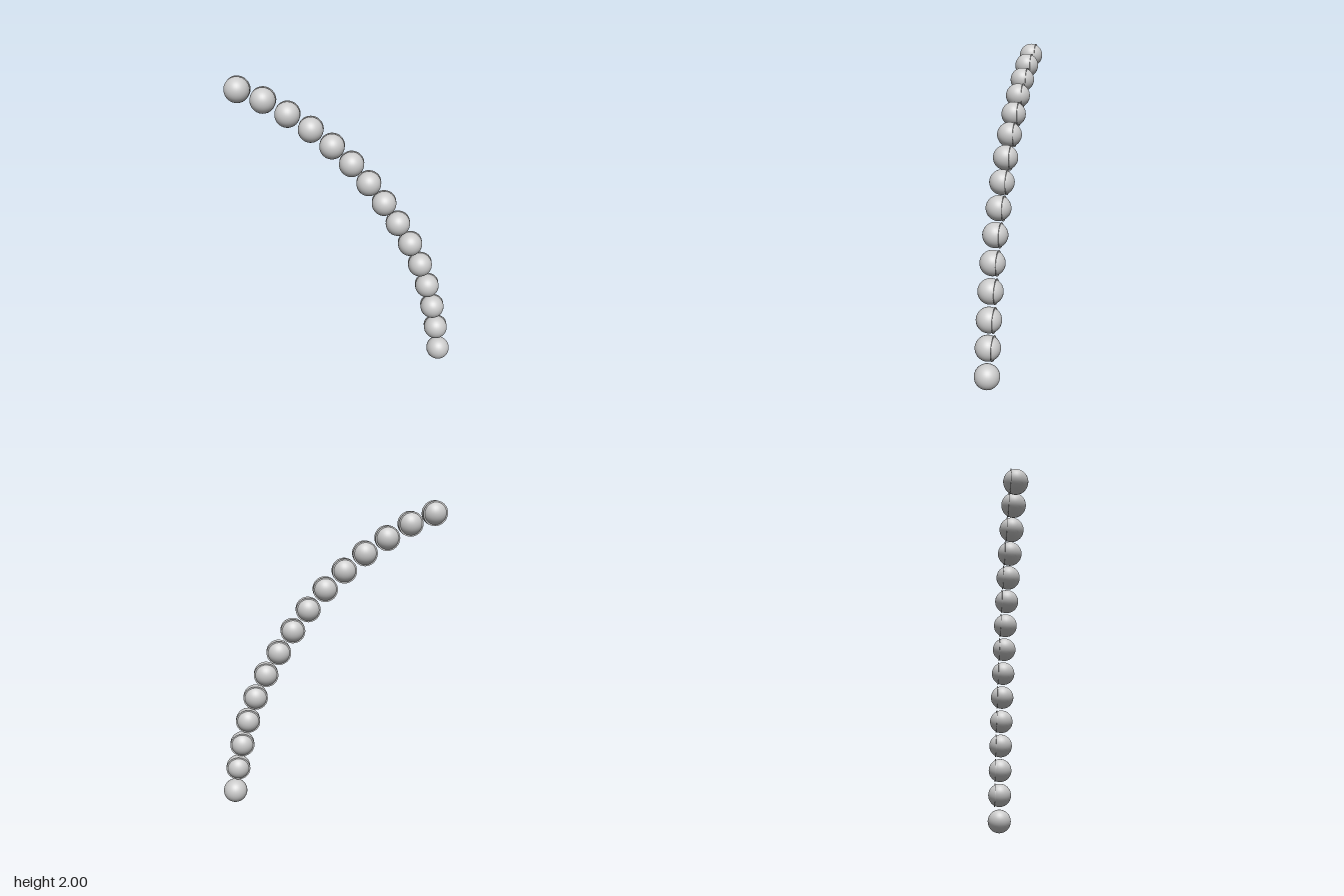
import * as THREE from 'three';

const R = 0.079;

// Bead centres along the arc, from the upper end to the foot
const CENTRES = [
  [-0.656, 1.921], [-0.502, 1.857], [-0.355, 1.770], [-0.214, 1.676], [-0.083, 1.569],
  [0.039, 1.453], [0.149, 1.324], [0.249, 1.188], [0.342, 1.046], [0.427, 0.900],
  [0.499, 0.746], [0.553, 0.586], [0.596, 0.421], [0.628, 0.254], [0.653, 0.080],
];

export function createModel() {
  const model = new THREE.Group();
  model.name = 'beadArc';
  const material = new THREE.MeshStandardMaterial({ color: 0xcccccc });
  const beadGeometry = new THREE.SphereGeometry(R, 32, 20);
  const rimGeometry = new THREE.CylinderGeometry(R, R, 0.004, 32).rotateX(Math.PI / 2);

  CENTRES.forEach(([x, y], i) => {
    const link = new THREE.Group();
    link.name = `link${i + 1}`;
    link.position.set(x, y, 0);

    // Round bead
    const bead = new THREE.Mesh(beadGeometry, material);
    bead.name = 'bead';
    link.add(bead);

    // Thin rim around the back of every bead but the lowest
    if (i < CENTRES.length - 1) {
      const rim = new THREE.Mesh(rimGeometry, material);
      rim.name = 'backRim';
      rim.position.z = -0.034;
      link.add(rim);
    }
    model.add(link);
  });
  return model;
}
